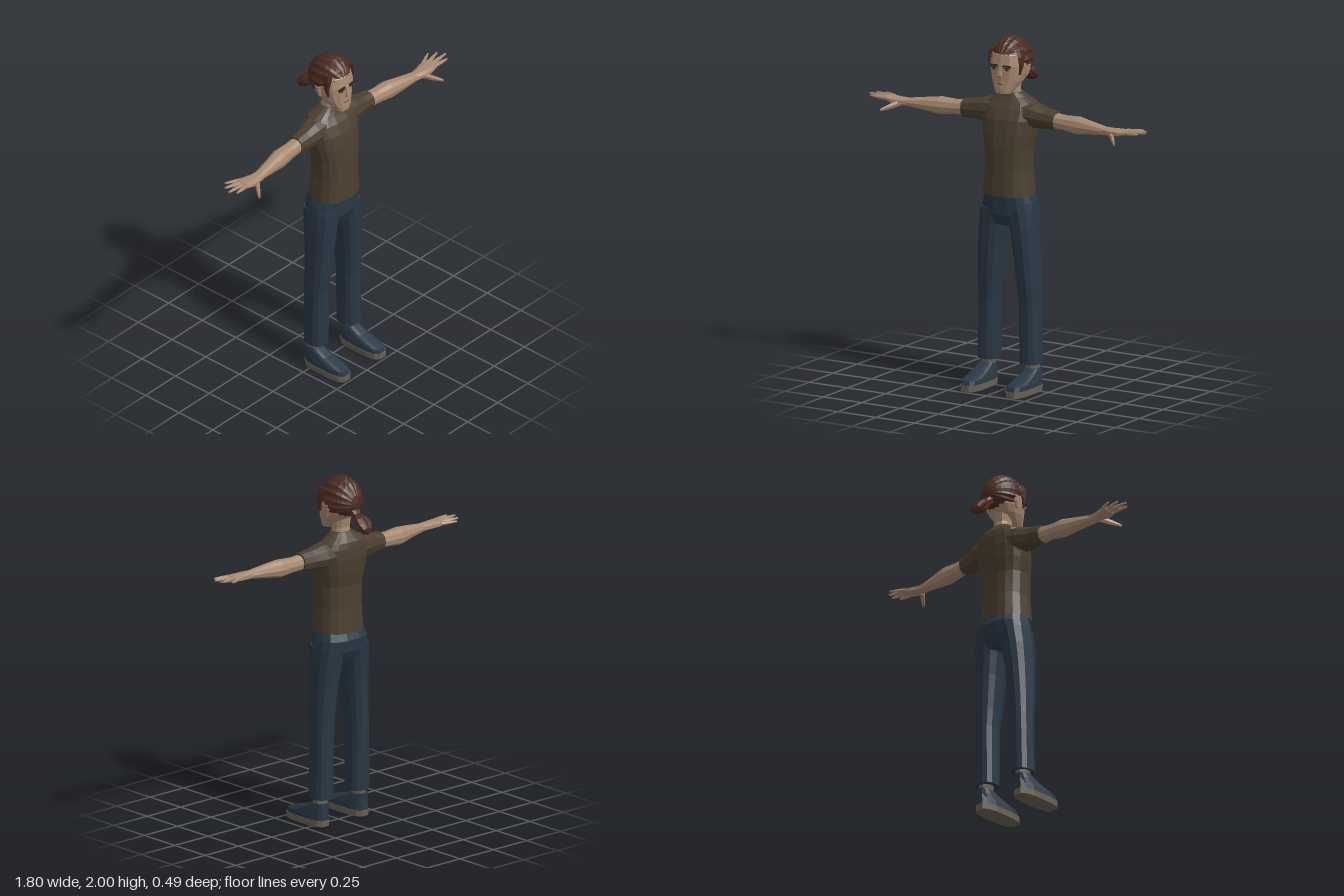
import * as THREE from 'three';

const mat = (name, color) => {
  const m = new THREE.MeshStandardMaterial({ color, flatShading: true });
  m.name = name;
  return m;
};
const V = (x, y, z) => new THREE.Vector3(x, y, z);
const spow = (v, e) => Math.sign(v) * Math.pow(Math.abs(v), 2 / e);

// Ring of n points (a rounded oval) from centre c and two half-axis vectors
function ring(c, u, v, n = 12, e = 2.3) {
  return Array.from({ length: n }, (_, i) => {
    const a = ((i + 0.5) / n) * Math.PI * 2;
    return c.clone().addScaledVector(u, spow(Math.cos(a), e)).addScaledVector(v, spow(Math.sin(a), e));
  });
}
// Horizontal ring [y, cx, cz, rx, rz] and upright ring across the arm [x, cy, cz, ry, rz]
const ringY = (s, n, e) => ring(V(s[1], s[0], s[2]), V(s[3], 0, 0), V(0, 0, s[4]), n, e);
const ringX = (s, n, e) => ring(V(s[0], s[1], s[2]), V(0, s[3], 0), V(0, 0, s[4]), n, e);

// Closed skin over a list of rings, turned so that its faces point outward
function loft(rings) {
  const tris = [];
  const n = rings[0].length;
  for (let k = 0; k < rings.length - 1; k++) {
    for (let i = 0; i < n; i++) {
      const j = (i + 1) % n, a = rings[k], b = rings[k + 1];
      tris.push([a[i], a[j], b[j]], [a[i], b[j], b[i]]);
    }
  }
  [rings[0], rings[rings.length - 1]].forEach((r, end) => {
    const c = r.reduce((s, p) => s.add(p), V(0, 0, 0)).divideScalar(n);
    r.forEach((p, i) => {
      const q = r[(i + 1) % n];
      tris.push(end ? [c, p, q] : [c, q, p]);
    });
  });
  const volume = tris.reduce((s, [a, b, c]) => s + a.dot(b.clone().cross(c)), 0);
  const pos = [];
  tris.forEach(([a, b, c]) => (volume < 0 ? [a, c, b] : [a, b, c]).forEach(p => pos.push(p.x, p.y, p.z)));
  const g = new THREE.BufferGeometry();
  g.setAttribute('position', new THREE.Float32BufferAttribute(pos, 3));
  g.computeVertexNormals();
  return g;
}

export function createModel() {
  const skin = mat('skin', 0xa98a72), shirt = mat('shirt brown', 0x4b3f30), denim = mat('denim blue', 0x293745);
  const hair = mat('hair brown', 0x4b2a20), shoe = mat('shoe blue', 0x2b3846), sole = mat('sole grey', 0x6a6254);
  const dark = mat('brow dark', 0x33241e), eyeWhite = mat('eye grey', 0x8c857c);

  const model = new THREE.Group();
  model.name = 'figure';
  const add = (name, geometry, material) => {
    const m = new THREE.Mesh(geometry, material);
    m.name = name;
    model.add(m);
    return m;
  };
  const box = (name, material, w, h, d, x, y, z) => add(name, new THREE.BoxGeometry(w, h, d).translate(x, y, z), material);

  // Shirt body
  add('shirtBody', loft([
    [1.11, 0, 0.007, 0.145, 0.122], [1.25, 0, 0.008, 0.134, 0.115], [1.38, 0, 0.008, 0.139, 0.112],
    [1.46, 0, -0.003, 0.155, 0.115], [1.54, 0, -0.014, 0.165, 0.112], [1.6, 0, -0.026, 0.163, 0.098],
    [1.635, 0, -0.035, 0.14, 0.082], [1.662, 0, -0.03, 0.09, 0.064], [1.685, 0, -0.024, 0.06, 0.05],
  ].map(s => ringY(s, 16, 2.5))), shirt);

  // Trousers seat
  add('hips', loft([
    [1.13, 0, 0.003, 0.138, 0.106], [1.07, 0, -0.01, 0.157, 0.117], [1.0, 0, -0.006, 0.168, 0.112],
    [0.94, 0, -0.002, 0.12, 0.085],
  ].map(s => ringY(s, 16, 2.6))), denim);

  // Neck and head
  add('neck', loft([
    [1.64, 0, -0.025, 0.056, 0.05], [1.71, 0, -0.018, 0.05, 0.048], [1.79, 0, -0.025, 0.06, 0.055],
  ].map(s => ringY(s, 10))), skin);
  add('head', loft([
    [1.692, 0, 0.066, 0.045, 0.036], [1.72, 0, 0.045, 0.062, 0.059], [1.76, 0, 0.015, 0.084, 0.087],
    [1.8, 0, -0.002, 0.096, 0.105], [1.85, 0, -0.008, 0.103, 0.113], [1.91, 0, -0.014, 0.095, 0.11],
    [1.95, 0, -0.02, 0.065, 0.08],
  ].map(s => ringY(s, 14, 2.6))), skin);

  // Nose as a small wedge
  add('nose', loft([
    [1.852, 0, 0.1, 0.007, 0.006], [1.797, 0, 0.104, 0.015, 0.02], [1.783, 0, 0.1, 0.013, 0.01],
  ].map(s => ringY(s, 4))), skin);
  box('mouth', dark, 0.036, 0.003, 0.006, 0, 1.748, 0.1);

  // Hair cap: strands run from the back pole to a jagged hairline
  const strands = 36, steps = 9, capRings = [];
  for (let k = 0; k <= steps; k++) {
    capRings.push(Array.from({ length: strands }, (_, i) => {
      const a = (i / strands) * Math.PI * 2, s = Math.sin(a);
      const edge = s > 0 ? 1.72 + 0.95 * Math.pow(s, 0.6) : 1.72 + 0.5 * s;
      const end = edge + (i % 2 ? 0.06 : -0.06);
      const t = 0.12 + (end - 0.12) * (k / steps);
      const r = Math.sin(t) * (i % 2 ? 1.03 : 0.97);
      return V(0.114 * Math.cos(a) * r, 1.855 + (s > 0 ? 0.142 : 0.085) * s * r, -0.022 - 0.132 * Math.cos(t));
    }));
  }
  add('hairCap', loft(capRings), hair);

  // Ponytail: pinched at the tie, flaring, then pointed
  add('ponytail', loft([
    [1.825, -0.115, 0.04, 0.035], [1.798, -0.15, 0.026, 0.022], [1.775, -0.18, 0.046, 0.034],
    [1.75, -0.21, 0.054, 0.036], [1.728, -0.232, 0.036, 0.026], [1.712, -0.243, 0.012, 0.01],
  ].map(([y, z, rx, r]) => ring(V(0, y, z), V(rx, 0, 0), V(0, 0.75 * r, -0.66 * r), 16)
    .map((p, i) => (i % 2 ? p : p.lerp(V(0, y, z), 0.12))))), hair);

  for (const s of [1, -1]) {
    const side = s > 0 ? 'left' : 'right';
    const name = part => side + part;

    // Face details
    box(name('Brow'), dark, 0.052, 0.009, 0.008, s * 0.043, 1.852, 0.103).rotation.z = 0;
    box(name('Eye'), eyeWhite, 0.04, 0.013, 0.006, s * 0.042, 1.833, 0.101);
    box(name('Iris'), dark, 0.014, 0.013, 0.006, s * 0.042, 1.833, 0.1025);
    box(name('EyeLid'), dark, 0.042, 0.004, 0.008, s * 0.042, 1.841, 0.102);
    add(name('Ear'), loft([
      [1.785, s * 0.097, -0.012, 0.008, 0.01], [1.82, s * 0.104, -0.018, 0.011, 0.02],
      [1.85, s * 0.106, -0.022, 0.011, 0.022],
    ].map(q => ringY(q, 6))), skin);
    add(name('Sideburn'), loft([
      [1.8, s * 0.093, 0.048, 0.006, 0.006], [1.85, s * 0.1, 0.042, 0.01, 0.017],
      [1.9, s * 0.095, 0.035, 0.013, 0.034], [1.935, s * 0.084, 0.025, 0.013, 0.045],
    ].map(q => ringY(q, 6))), hair);

    // Sleeve and bare arm
    const limb = (part, rows, material, n) =>
      add(name(part), loft(rows.map(([x, ...r]) => ringX([s * x, ...r], n))), material);
    limb('Sleeve', [
      [0.07, 1.57, -0.025, 0.075, 0.088], [0.16, 1.565, -0.022, 0.07, 0.08],
      [0.23, 1.558, -0.013, 0.057, 0.06], [0.302, 1.555, -0.009, 0.052, 0.051],
    ], shirt, 10);
    limb('Arm', [
      [0.27, 1.555, -0.009, 0.044, 0.044], [0.36, 1.551, -0.004, 0.042, 0.043],
      [0.45, 1.548, 0.002, 0.05, 0.049], [0.54, 1.549, 0.016, 0.037, 0.04],
      [0.645, 1.548, 0.029, 0.023, 0.031],
    ], skin, 10);

    // Hand with four fingers and a thumb
    limb('Palm', [
      [0.635, 1.548, 0.029, 0.023, 0.031], [0.69, 1.549, 0.032, 0.022, 0.04],
      [0.74, 1.552, 0.028, 0.019, 0.05], [0.785, 1.558, 0.024, 0.012, 0.047],
    ], skin, 8);
    const finger = (part, [x0, y0, z0], [x1, y1, z1], r) => limb(part, [0, 0.55, 1].map((t, k) => [
      x0 + (x1 - x0) * t, y0 + (y1 - y0) * t, z0 + (z1 - z0) * t, r * [1, 0.85, 0.45][k], r * [1.1, 0.9, 0.45][k],
    ]), skin, 6);
    finger('LittleFinger', [0.755, 1.556, -0.011], [0.842, 1.561, -0.05], 0.011);
    finger('RingFinger', [0.77, 1.558, 0.01], [0.88, 1.564, -0.016], 0.012);
    finger('MiddleFinger', [0.77, 1.558, 0.03], [0.9, 1.566, 0.029], 0.012);
    finger('IndexFinger', [0.77, 1.557, 0.053], [0.872, 1.563, 0.065], 0.012);
    finger('Thumb', [0.685, 1.543, 0.045], [0.762, 1.508, 0.132], 0.02);

    // Trouser leg
    add(name('Leg'), loft([
      [1.03, s * 0.085, -0.006, 0.08, 0.108], [0.93, s * 0.1, -0.002, 0.075, 0.1],
      [0.8, s * 0.113, 0.002, 0.067, 0.09], [0.6, s * 0.127, 0, 0.06, 0.077],
      [0.5, s * 0.132, -0.006, 0.058, 0.069], [0.155, s * 0.136, -0.004, 0.06, 0.067],
    ].map(q => ringY(q, 12, 2.6))), denim);

    // Ankle, shoe and sole
    add(name('Sock'), loft([[0.1, s * 0.145, -0.008, 0.036, 0.042], [0.17, s * 0.14, -0.006, 0.042, 0.045]]
      .map(q => ringY(q, 8))), sole);
    const foot = (part, rows, material) => add(name(part), loft(rows.map(([y, z0, z1, rx]) =>
      ringY([y, s * 0.147, (z0 + z1) / 2, rx, (z1 - z0) / 2], 12, 3.2))), material);
    foot('Shoe', [
      [0.034, -0.06, 0.237, 0.055], [0.062, -0.059, 0.228, 0.053],
      [0.1, -0.057, 0.1, 0.046], [0.13, -0.058, 0.035, 0.039],
    ], shoe);
    foot('Sole', [[0, -0.06, 0.24, 0.056], [0.035, -0.062, 0.242, 0.058]], sole);
  }
  return model;
}
